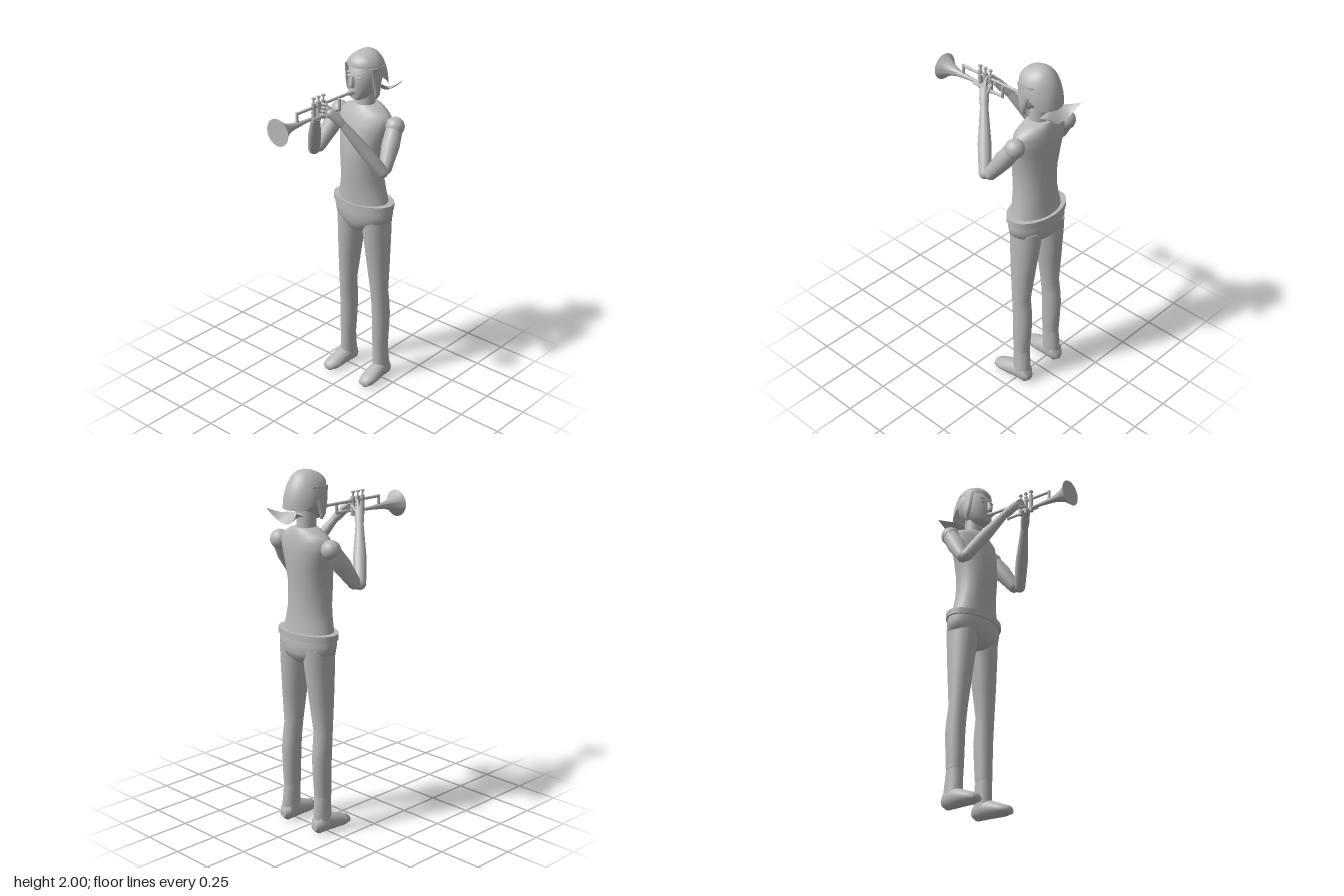
import * as THREE from 'three';
import { toCreasedNormals } from 'three/addons/utils/BufferGeometryUtils.js';

const V = (x, y, z) => new THREE.Vector3(x, y, z);

export function createModel() {
  const model = new THREE.Group();
  model.name = 'trumpetPlayer';
  const figure = new THREE.Group();
  figure.name = 'figure';
  figure.position.x = 0.014;
  model.add(figure);
  const grey = new THREE.MeshStandardMaterial({ color: 0xb8b8b8, side: THREE.DoubleSide });
  grey.name = 'grey';

  const add = (name, geometry) => {
    const mesh = new THREE.Mesh(geometry, grey);
    mesh.name = name;
    figure.add(mesh);
    return mesh;
  };

  // Skin of elliptical sections [t, halfWidth, low, high, centreX].
  // Upright: t is y, low/high are z. Lying (t descending): t is z, low/high are y.
  const loft = (rings, lying = false, n = 28) => {
    const pos = [], idx = [];
    const put = (x, t, w) => (lying ? pos.push(x, w, t) : pos.push(x, t, w));
    rings.forEach(([t, rx, lo, hi, cx = 0]) => {
      for (let i = 0; i < n; i++) {
        const a = (i / n) * Math.PI * 2;
        put(cx + rx * Math.cos(a), t, (lo + hi) / 2 + ((hi - lo) / 2) * Math.sin(a));
      }
    });
    for (let j = 0; j < rings.length - 1; j++) {
      for (let i = 0; i < n; i++) {
        const a = j * n + i, b = j * n + ((i + 1) % n);
        idx.push(a, a + n, b, b, a + n, b + n);
      }
    }
    const last = (rings.length - 1) * n;
    [rings[0], rings[rings.length - 1]].forEach(([t, , lo, hi, cx = 0], end) => {
      put(cx, t, (lo + hi) / 2);
      const c = pos.length / 3 - 1;
      for (let i = 0; i < n; i++) {
        const k = (i + 1) % n;
        if (end) idx.push(last + i, c, last + k);
        else idx.push(i, k, c);
      }
    });
    const g = new THREE.BufferGeometry();
    g.setAttribute('position', new THREE.Float32BufferAttribute(pos, 3));
    g.setIndex(idx);
    return toCreasedNormals(g, 0.75);
  };

  // Tapered, round-ended limb from a to b
  const limb = (name, a, b, ra, rb, mid = (ra + rb) / 2) => {
    const len = a.distanceTo(b), pts = [];
    for (let i = 0; i <= 5; i++) {
      const t = (i / 5) * Math.PI / 2;
      pts.push(new THREE.Vector2(ra * Math.sin(t), -ra * Math.cos(t)));
    }
    pts.push(new THREE.Vector2(mid, len * 0.45));
    for (let i = 0; i <= 5; i++) {
      const t = (i / 5) * Math.PI / 2;
      pts.push(new THREE.Vector2(rb * Math.cos(t), len + rb * Math.sin(t)));
    }
    const mesh = add(name, new THREE.LatheGeometry(pts, 18));
    mesh.position.copy(a);
    mesh.quaternion.setFromUnitVectors(V(0, 1, 0), b.clone().sub(a).normalize());
    return mesh;
  };

  // Straight pipe with flat ends
  const pipe = (name, a, b, ra, rb = ra) => {
    const mesh = add(name, new THREE.CylinderGeometry(rb, ra, a.distanceTo(b), 16));
    mesh.position.copy(a).lerp(b, 0.5);
    mesh.quaternion.setFromUnitVectors(V(0, 1, 0), b.clone().sub(a).normalize());
  };

  const ball = (name, c, sx, sy, sz) => {
    const mesh = add(name, new THREE.SphereGeometry(1, 20, 14));
    mesh.position.copy(c);
    mesh.scale.set(sx, sy, sz);
    return mesh;
  };

  // Trunk
  add('torso', loft([
    [1.10, 0.17, -0.36, -0.135], [1.14, 0.158, -0.352, -0.135], [1.20, 0.144, -0.345, -0.134],
    [1.27, 0.128, -0.341, -0.127], [1.40, 0.127, -0.343, -0.115], [1.50, 0.142, -0.352, -0.125],
    [1.57, 0.158, -0.355, -0.143], [1.63, 0.168, -0.35, -0.163], [1.66, 0.145, -0.343, -0.178],
    [1.685, 0.10, -0.337, -0.192], [1.70, 0.06, -0.33, -0.203]]));
  add('neck', loft([[1.66, 0.055, -0.31, -0.2], [1.80, 0.05, -0.305, -0.205]]));
  add('belt', loft([[1.103, 0.196, -0.37, -0.125], [1.137, 0.196, -0.37, -0.125]]));
  add('hips', loft([
    [0.95, 0.05, -0.29, -0.19], [0.965, 0.08, -0.32, -0.165], [1.0, 0.145, -0.355, -0.147],
    [1.03, 0.18, -0.364, -0.138], [1.07, 0.188, -0.366, -0.134], [1.11, 0.184, -0.362, -0.135]]));

  // Head, face and backwards cap
  add('head', loft([
    [1.737, 0.025, -0.225, -0.165], [1.748, 0.045, -0.25, -0.148], [1.785, 0.068, -0.30, -0.141],
    [1.84, 0.083, -0.35, -0.143], [1.91, 0.088, -0.362, -0.152], [1.96, 0.055, -0.33, -0.2]]));
  const cap = new THREE.SphereGeometry(1, 32, 14, 0, Math.PI * 2, 0, Math.PI / 2);
  const cp = cap.attributes.position;
  for (let i = 0; i < cp.count; i++) {
    const x = cp.getX(i), y = cp.getY(i), z = cp.getZ(i);
    const rim = 1.86 + 0.06 * THREE.MathUtils.clamp(z * 1.6, -1, 1);
    cp.setXYZ(i, x * 0.108, rim + (2 - rim) * y, -0.268 + z * 0.119);
  }
  cap.computeVertexNormals();
  add('cap', cap);
  const brim = new THREE.PlaneGeometry(2, 1, 16, 5);
  const bp = brim.attributes.position;
  for (let i = 0; i < bp.count; i++) {
    const u = bp.getX(i), v = bp.getY(i) + 0.5, e = u * u;
    const edge = 1.77 + 0.035 * v, centre = 1.785 - 0.055 * v;
    bp.setXYZ(i, u * (0.095 + 0.021 * v), centre + (edge - centre) * e,
      -0.345 - v * (0.06 + 0.028 * e));
  }
  brim.computeVertexNormals();
  add('capBrim', brim);
  add('nose', loft([[1.815, 0.015, -0.16, -0.122], [1.83, 0.015, -0.16, -0.117],
    [1.875, 0.006, -0.16, -0.138]], false, 10));
  ball('lips', V(0, 1.79, -0.143), 0.022, 0.011, 0.01);

  // Paired parts
  for (const [side, s] of [['left', 1], ['right', -1]]) {
    add(side + 'HairFlap', loft([
      [1.747, 0.006, -0.24, -0.225, s * 0.09], [1.77, 0.013, -0.248, -0.215, s * 0.098],
      [1.83, 0.014, -0.262, -0.2, s * 0.096], [1.92, 0.012, -0.3, -0.185, s * 0.09]], false, 12));
    ball(side + 'Eye', V(s * 0.037, 1.868, -0.158), 0.014, 0.007, 0.01);
    ball(side + 'Eyebrow', V(s * 0.037, 1.889, -0.16), 0.02, 0.004, 0.01);

    // Leg, ankle and shoe
    add(side + 'Leg', loft([
      [0.215, 0.043, -0.315, -0.214, s * 0.123], [0.30, 0.046, -0.32, -0.212, s * 0.122],
      [0.42, 0.049, -0.326, -0.21, s * 0.121], [0.50, 0.049, -0.32, -0.205, s * 0.12],
      [0.58, 0.051, -0.307, -0.2, s * 0.117], [0.75, 0.062, -0.325, -0.183, s * 0.107],
      [0.95, 0.075, -0.345, -0.165, s * 0.093], [1.05, 0.078, -0.35, -0.16, s * 0.09]]));
    add(side + 'Ankle', loft([
      [0.06, 0.045, -0.328, -0.212, s * 0.127], [0.12, 0.042, -0.325, -0.215, s * 0.125],
      [0.217, 0.041, -0.314, -0.214, s * 0.123]]));
    add(side + 'Shoe', loft([
      [-0.085, 0.015, 0.015, 0.04, s * 0.138], [-0.097, 0.035, 0.005, 0.053, s * 0.138],
      [-0.14, 0.049, 0, 0.07, s * 0.136], [-0.2, 0.049, 0, 0.095, s * 0.133],
      [-0.25, 0.046, 0, 0.112, s * 0.129], [-0.31, 0.044, 0, 0.105, s * 0.127],
      [-0.335, 0.022, 0.02, 0.07, s * 0.127]], true));

    // Arm
    const shoulder = V(s * 0.197, 1.595, -0.262), elbow = V(s * 0.238, 1.415, -0.14);
    const wrist = V(s * 0.098, 1.675, 0.042), knuckles = V(s * 0.05, 1.745, 0.088);
    ball(side + 'Shoulder', V(s * 0.195, 1.603, -0.268), 0.053, 0.053, 0.053);
    limb(side + 'UpperArm', shoulder, elbow, 0.046, 0.036, 0.05);
    limb(side + 'Forearm', V(s * 0.246, 1.405, -0.105), wrist, 0.033, 0.022, 0.036);

    // Hand
    limb(side + 'Palm', wrist, knuckles, 0.021, 0.024, 0.026);
    for (let f = 0; f < 4; f++) {
      const base = knuckles.clone().add(V(0, 0.018 - f * 0.012, -0.006 + f * 0.005));
      const bend = V(s * 0.026, 1.79 - f * 0.017, 0.098 + f * 0.008);
      limb(side + 'Finger', base, bend, 0.008, 0.007);
      limb(side + 'Fingertip', bend, V(s * 0.006, bend.y + 0.002, bend.z + 0.01), 0.007, 0.006);
    }
    limb(side + 'Thumb', V(s * 0.065, 1.73, 0.06), V(s * 0.018, 1.765, 0.068), 0.009, 0.007);
  }

  // Trumpet: flared bell
  const flare = [[0.009, 0.19], [0.012, 0.25], [0.018, 0.315], [0.023, 0.345], [0.034, 0.38],
    [0.05, 0.407], [0.074, 0.435]].map(([r, z]) => new THREE.Vector2(r, z));
  const bell = add('trumpetBell', new THREE.LatheGeometry([...flare, new THREE.Vector2(0, 0.434)], 32));
  bell.geometry = toCreasedNormals(bell.geometry, 0.7);
  bell.rotation.x = Math.PI / 2;
  bell.position.y = 1.728;

  // Trumpet: pipes and bends
  pipe('leadPipe', V(0, 1.787, -0.115), V(0, 1.787, 0.295), 0.008);
  pipe('mouthpiece', V(0, 1.787, -0.137), V(0, 1.787, -0.1), 0.017, 0.009);
  pipe('frontBend', V(0, 1.794, 0.29), V(0, 1.735, 0.29), 0.008);
  pipe('lowerPipe', V(0.02, 1.73, -0.018), V(0.02, 1.73, 0.195), 0.008);
  pipe('rearBend', V(0.02, 1.79, -0.015), V(0.02, 1.723, -0.015), 0.008);
  pipe('bellPipe', V(0, 1.728, 0.08), V(0, 1.728, 0.2), 0.009);

  // Trumpet: three valves
  for (const z of [0.09, 0.127, 0.164]) {
    pipe('valve', V(0, 1.705, z), V(0, 1.81, z), 0.012);
    pipe('valveStem', V(0, 1.81, z), V(0, 1.832, z), 0.005);
    pipe('valveButton', V(0, 1.83, z), V(0, 1.839, z), 0.011);
  }
  return model;
}
